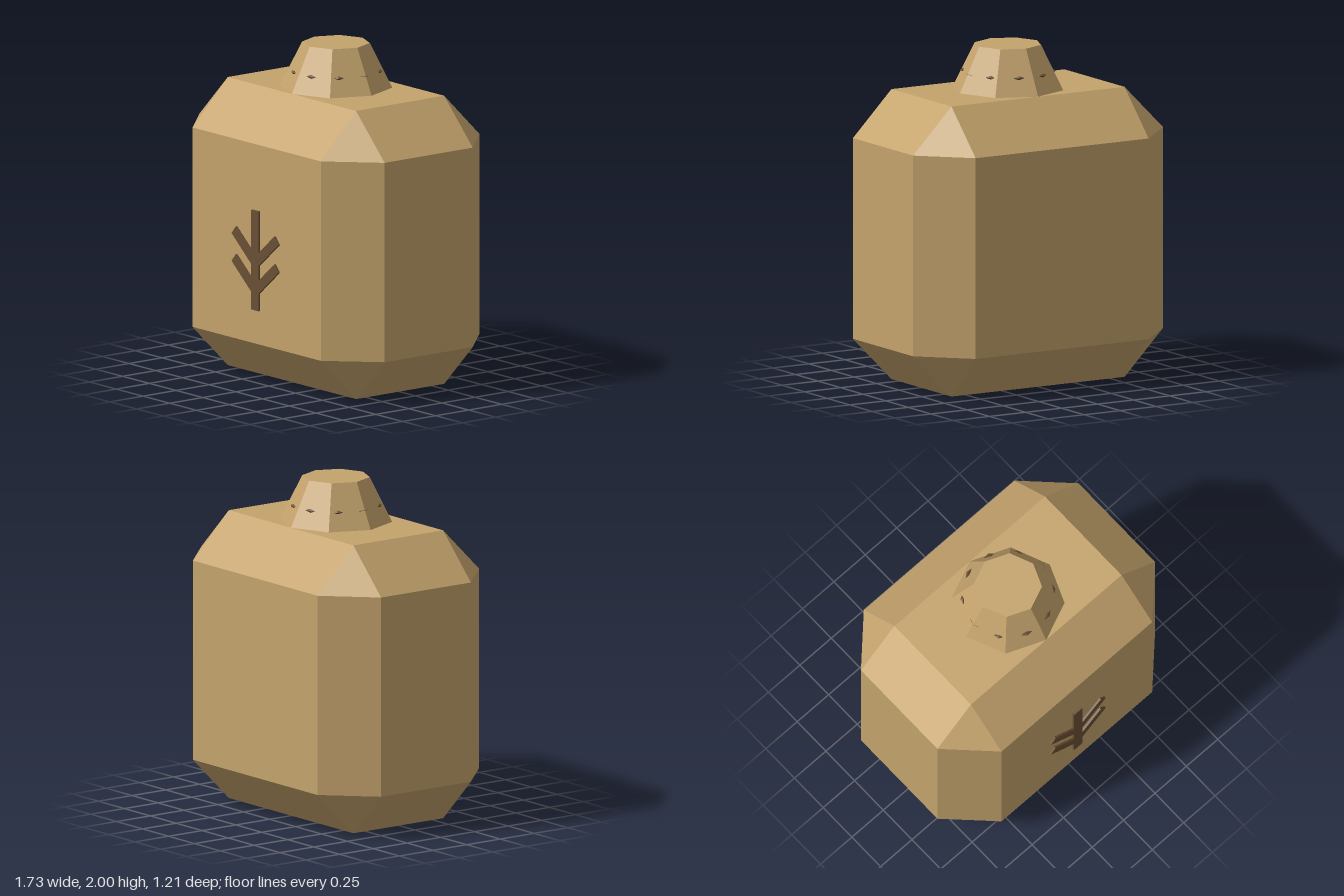
import * as THREE from 'three';
import { ConvexGeometry } from 'three/addons/geometries/ConvexGeometry.js';

export function createModel() {
  const model = new THREE.Group();
  const tan = new THREE.MeshStandardMaterial({ color: 0xc4a36c, flatShading: true });
  tan.name = 'tan';
  const brown = new THREE.MeshStandardMaterial({ color: 0x6b5034, flatShading: true });
  brown.name = 'dark brown';

  const add = (name, geometry, material, x, y, z) => {
    const mesh = new THREE.Mesh(geometry, material);
    mesh.name = name;
    mesh.position.set(x, y, z);
    model.add(mesh);
    return mesh;
  };

  // Body: a box with wide chamfers on every edge
  const [hx, hy, hz] = [0.6, 0.6, 0.333];
  const c = 0.267;
  const centreZ = -0.007;
  const points = [];
  for (const sx of [-1, 1]) for (const sy of [-1, 1]) for (const sz of [-1, 1]) {
    points.push(
      new THREE.Vector3(sx * (hx + c), sy * hy, sz * hz),
      new THREE.Vector3(sx * hx, sy * (hy + c), sz * hz),
      new THREE.Vector3(sx * hx, sy * hy, sz * (hz + c))
    );
  }
  add('body', new ConvexGeometry(points), tan, 0, hy + c, centreZ);

  // Tapered eight-sided neck
  const bodyTop = 2 * (hy + c);
  add('neck', new THREE.CylinderGeometry(0.2, 0.333, 2 - bodyTop, 8), tan, 0, (2 + bodyTop) / 2, centreZ);

  // Ring of ten small studs, partly sunk in the neck
  for (let i = 0; i < 10; i++) {
    const a = (i + 0.5) * Math.PI / 5;
    const stud = add('stud', new THREE.OctahedronGeometry(1), brown,
      0.267 * Math.sin(a), 1.84, 0.267 * Math.cos(a) + centreZ);
    stud.scale.set(0.035, 0.012, 0.014);
    stud.rotation.y = a;
  }

  // Branch emblem on the front: stem and two mirrored pairs of twigs
  const faceZ = centreZ + hz + c;
  add('emblemStem', new THREE.BoxGeometry(0.067, 0.6, 0.027), brown, 0, 0.77, faceZ);
  for (const y of [0.838, 0.671]) for (const s of [-1, 1]) {
    const twig = add('emblemTwig', new THREE.BoxGeometry(0.26, 0.06, 0.026), brown, s * 0.1, y, faceZ);
    twig.rotation.z = s * 0.7;
  }

  return model;
}
